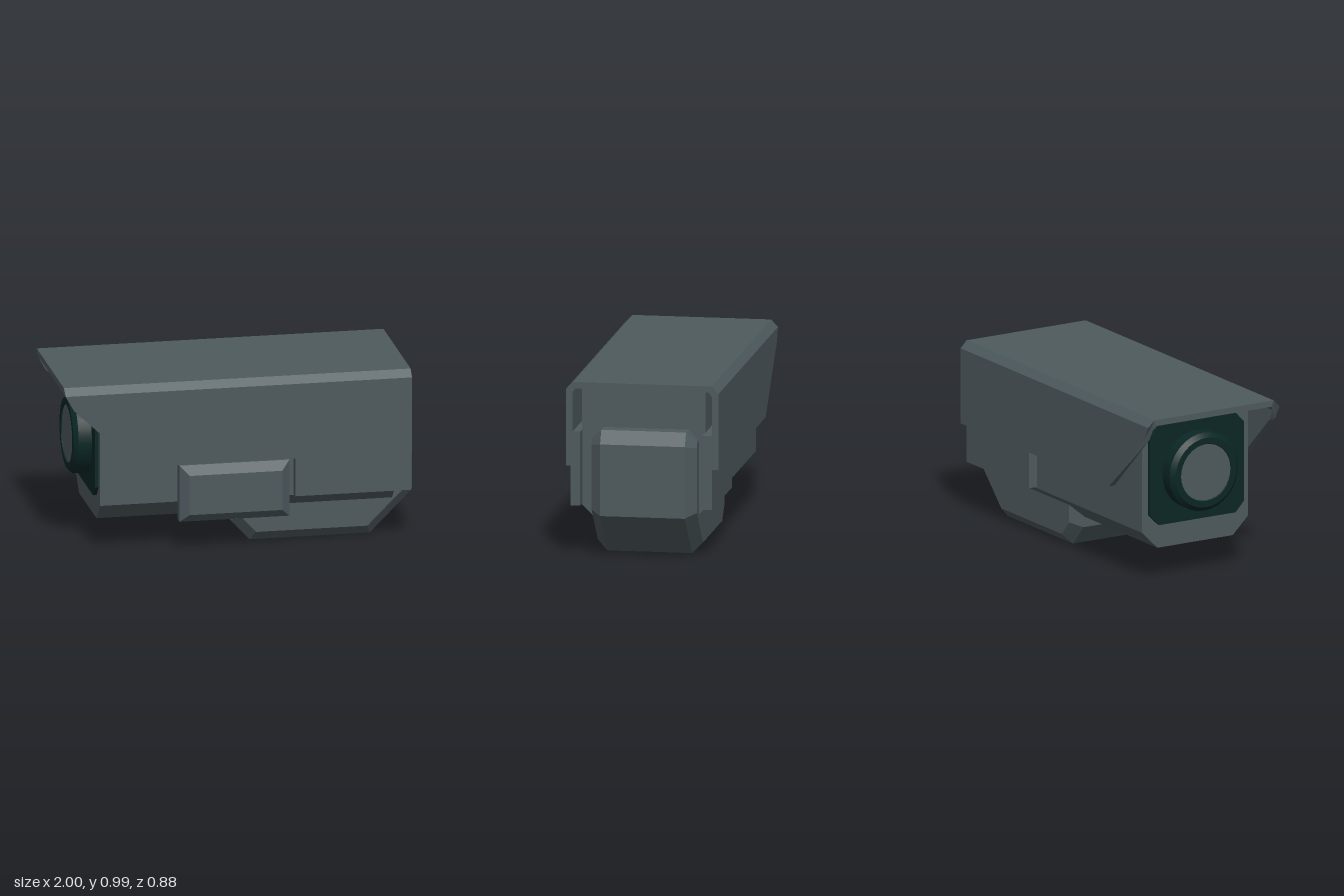
import * as THREE from 'three';

// Extrudes a [z, y] outline along x from x0 to x1.
function alongX(points, x0, x1) {
  const shape = new THREE.Shape(points.map(([z, y]) => new THREE.Vector2(-z, y)));
  const g = new THREE.ExtrudeGeometry(shape, { depth: x1 - x0, bevelEnabled: false });
  return g.rotateY(Math.PI / 2).translate(x0, 0, 0);
}

// Box given by its minimum and maximum corners.
function boxBetween(a, b) {
  return new THREE.BoxGeometry(b[0] - a[0], b[1] - a[1], b[2] - a[2])
    .translate((a[0] + b[0]) / 2, (a[1] + b[1]) / 2, (a[2] + b[2]) / 2);
}

export function createModel() {
  const casing = new THREE.MeshStandardMaterial({ color: 0x4e5a5e });
  casing.name = 'casing grey';
  const glassy = new THREE.MeshStandardMaterial({ color: 0x0a2725 });
  glassy.name = 'lens teal';

  const model = new THREE.Group();
  model.name = 'securityCamera';
  const add = (name, geometry, material = casing) => {
    const mesh = new THREE.Mesh(geometry, material);
    mesh.name = name;
    model.add(mesh);
    return mesh;
  };

  // Sun hood: folded sheet whose front end is cut back towards the bottom
  const hood = alongX([
    [0.42, 0.513], [0.42, 0.86], [0.42, 0.945], [0.38, 0.985],
    [-0.4, 0.985], [-0.44, 0.945], [-0.44, 0.86], [-0.44, 0.513],
    [-0.402, 0.513], [-0.402, 0.86], [-0.402, 0.925], [-0.385, 0.95],
    [0.365, 0.95], [0.382, 0.925], [0.382, 0.86], [0.382, 0.513],
  ], -1, 0.96);
  const cutX = (y) => {
    if (y >= 0.95) return -1;
    if (y >= 0.86) return -0.95 - 0.05 * (y - 0.86) / 0.09;
    return -0.585 - 0.365 * (y - 0.513) / 0.347;
  };
  const hp = hood.attributes.position;
  for (let i = 0; i < hp.count; i++) {
    if (hp.getX(i) < 0) hp.setX(i, cutX(hp.getY(i)));
  }
  hood.computeVertexNormals();
  add('sunHood', hood);

  // Main body with chamfered lower edges
  add('body', alongX([
    [0.345, 0.96], [0.345, 0.28], [0.245, 0.18],
    [-0.25, 0.18], [-0.35, 0.28], [-0.35, 0.96],
  ], -0.79, 0.875));

  // Spacer plates between body and hood
  add('leftSpacerPlate', boxBetween([0.305, 0.287, 0.34], [0.96, 0.705, 0.395]));
  add('rightSpacerPlate', boxBetween([0.305, 0.287, -0.402], [0.96, 0.705, -0.345]));

  // Side control box with a bevelled cover
  add('controlBoxBase', boxBetween([-0.35, 0.177, 0.34], [0.272, 0.502, 0.395]));
  const cover = boxBetween([-0.35, 0.177, 0.395], [0.272, 0.502, 0.44]);
  const cp = cover.attributes.position;
  for (let i = 0; i < cp.count; i++) {
    if (cp.getZ(i) < 0.42) continue;
    cp.setX(i, cp.getX(i) + (cp.getX(i) < 0 ? 0.049 : -0.049));
    cp.setY(i, cp.getY(i) + (cp.getY(i) < 0.34 ? 0.049 : -0.049));
  }
  cover.computeVertexNormals();
  add('controlBoxCover', cover);

  // Wall mount: L-shaped arm under and behind the body, bevelled all round
  const arm = new THREE.Shape([
    [-0.03, 0.32], [-0.03, 0.12], [0.08, 0], [0.76, 0], [1, 0.24],
    [1, 0.645], [0.96, 0.72], [0.76, 0.72], [0.76, 0.32],
  ].map(([x, y]) => new THREE.Vector2(x, y)));
  add('mountArm', new THREE.ExtrudeGeometry(arm, {
    depth: 0.477, bevelEnabled: true, bevelSegments: 1,
    bevelSize: 0.058, bevelThickness: 0.058, bevelOffset: -0.058,
  }).translate(0, 0, -0.256));

  // Dark front panel with cut corners
  add('frontPanel', alongX([
    [0.25, 0.315], [-0.25, 0.315], [-0.31, 0.375], [-0.31, 0.83],
    [-0.25, 0.89], [0.25, 0.89], [0.305, 0.83], [0.305, 0.375],
  ], -0.81, -0.785), glassy);

  // Lens barrel and end disc, both facing -x
  const barrel = new THREE.LatheGeometry([
    [0.225, 0], [0.225, 0.085], [0.225, 0.085], [0.2, 0.11],
    [0.2, 0.11], [0.165, 0.11], [0.165, 0.11], [0.16, 0.1],
  ].map(([r, h]) => new THREE.Vector2(r, h)), 32);
  barrel.rotateZ(Math.PI / 2).translate(-0.8, 0.605, -0.005);
  add('lensBarrel', barrel, glassy);
  const disc = new THREE.CircleGeometry(0.165, 32);
  disc.rotateY(-Math.PI / 2).translate(-0.904, 0.605, -0.005);
  add('lensDisc', disc);

  return model;
}
